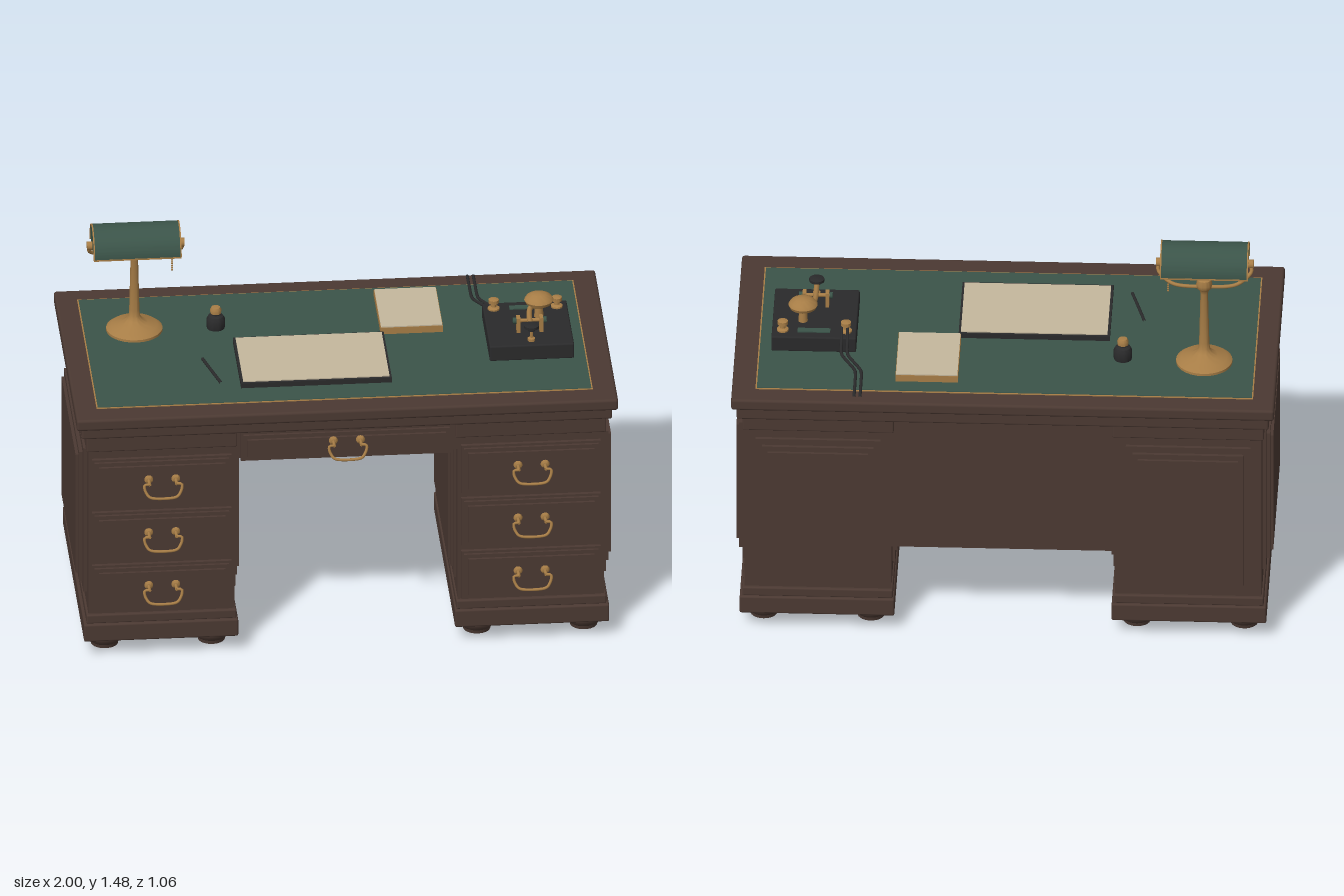
import * as THREE from 'three';
import { toCreasedNormals } from 'three/addons/utils/BufferGeometryUtils.js';
import { RoundedBoxGeometry } from 'three/addons/geometries/RoundedBoxGeometry.js';

const material = (name, color) => {
  const m = new THREE.MeshStandardMaterial({ color });
  m.name = name;
  return m;
};

export function createModel() {
  const wood = material('dark wood', 0x4b3932);
  const green = material('green leather and glass', 0x3b5449);
  const brass = material('brass', 0xa77d46);
  const cream = material('cream paper', 0xc4b79d);
  const black = material('black', 0x2a2a2b);

  const model = new THREE.Group();
  model.name = 'writingDesk';

  const group = (name, parent = model) => {
    const g = new THREE.Group();
    g.name = name;
    parent.add(g);
    return g;
  };
  const add = (name, geo, mat, parent = model, x = 0, y = 0, z = 0) => {
    const m = new THREE.Mesh(geo, mat);
    m.name = name;
    m.position.set(x, y, z);
    parent.add(m);
    return m;
  };
  // Box given by its limits on each axis, optionally with softened edges
  const box = (name, mat, parent, [x0, x1], [y0, y1], [z0, z1], r = 0) => {
    const s = [x1 - x0, y1 - y0, z1 - z0];
    const geo = r ? new RoundedBoxGeometry(...s, 2, r) : new THREE.BoxGeometry(...s);
    return add(name, geo, mat, parent, (x0 + x1) / 2, (y0 + y1) / 2, (z0 + z1) / 2);
  };
  const lathe = (name, pts, mat, parent, x, y, z, n = 28) =>
    add(name, toCreasedNormals(new THREE.LatheGeometry(pts.map(p => new THREE.Vector2(...p)), n), 0.6), mat, parent, x, y, z);
  const tube = (name, pts, r, mat, parent, n = 24, tension = 0.3) => {
    const curve = new THREE.CatmullRomCurve3(pts.map(p => new THREE.Vector3(...p)), false, 'catmullrom', tension);
    return add(name, new THREE.TubeGeometry(curve, n, r, 8), mat, parent);
  };
  // Stepped raised panel facing +z of its own group
  const raisedPanel = (name, parent, w, h, steps) => {
    const g = group(name, parent);
    for (const [inset, depth] of steps)
      box('panelStep', wood, g, [-w / 2 + inset, w / 2 - inset], [-h / 2 + inset, h / 2 - inset], [-0.005, depth]);
    return g;
  };
  const place = (o, x, y, z, ry = 0) => {
    o.position.set(x, y, z);
    o.rotation.y = ry;
  };

  // Hanging drawer pull with two rosettes
  const handle = (parent, x, y, z) => {
    const g = group('drawerHandle', parent);
    g.position.set(x, y, z);
    for (const s of [-1, 1]) {
      const rose = lathe('rosette', [[0, 0.012], [0.009, 0.01], [0.016, 0.004], [0.017, 0]].reverse(), brass, g, s * 0.05, 0.022, 0, 14);
      rose.rotation.x = Math.PI / 2;
      const post = add('handlePost', new THREE.CylinderGeometry(0.006, 0.006, 0.046, 10), brass, g, s * 0.05, 0.022, 0.022);
      post.rotation.x = Math.PI / 2;
    }
    tube('bail', [[-0.05, 0.024, 0.045], [-0.069, 0.021, 0.047], [-0.064, -0.005, 0.055], [-0.04, -0.024, 0.065],
      [0.04, -0.024, 0.065], [0.064, -0.005, 0.055], [0.069, 0.021, 0.047], [0.05, 0.024, 0.045]], 0.0055, brass, g, 36, 0.5);
  };
  const drawer = (name, parent, x, y, w, h) => {
    const g = raisedPanel(name, parent, w, h, [[0, 0.014], [0.009, 0.024], [0.024, 0.034]]);
    g.position.set(x, y, 0.427);
    handle(parent, x, y, 0.46);
  };

  // Table top with moulded edge and leather inlay
  const top = group('tableTop');
  box('topSlab', wood, top, [-1, 1], [0.965, 1.01], [-0.53, 0.497], 0.01);
  box('topMoulding', wood, top, [-0.98, 0.98], [0.915, 0.968], [-0.51, 0.467], 0.008);
  box('inlayBorder', brass, top, [-0.92, 0.913], [1.008, 1.0125], [-0.449, 0.408]);
  box('leatherInlay', green, top, [-0.915, 0.908], [1.008, 1.0145], [-0.443, 0.402]);

  // Two mirrored pedestals
  for (const side of [-1, 1]) {
    const p = group(side < 0 ? 'rightPedestal' : 'leftPedestal');
    const range = (a, b) => (side > 0 ? [a, b] : [-b, -a]);
    const cx = side * 0.682;
    box('plinth', wood, p, range(0.4, 0.97), [0.065, 0.136], [-0.485, 0.455], 0.007);
    box('plinthMoulding', wood, p, range(0.406, 0.96), [0.134, 0.17], [-0.475, 0.443], 0.006);
    box('carcass', wood, p, range(0.412, 0.952), [0.16, 0.86], [-0.462, 0.427]);
    box('neckMoulding', wood, p, range(0.403, 0.96), [0.845, 0.92], [-0.47, 0.436], 0.005);

    for (const y of [0.715, 0.495, 0.275]) drawer('drawer', p, cx, y, 0.515, 0.198);

    const steps = [[0, 0.013], [0.03, 0.026], [0.053, 0.037]];
    place(raisedPanel('outerSidePanel', p, 0.72, 0.597, steps), side * 0.952, 0.524, 0, side * Math.PI / 2);
    place(raisedPanel('innerSidePanel', p, 0.72, 0.597, [[0, 0.009], [0.03, 0.018], [0.053, 0.026]]),
      side * 0.412, 0.524, 0, -side * Math.PI / 2);
    place(raisedPanel('backPanel', p, 0.46, 0.61, [[0, 0.013], [0.025, 0.026], [0.045, 0.037]]), cx, 0.507, -0.462, Math.PI);

    for (const x of [0.49, 0.885]) for (const z of [0.335, -0.363])
      lathe('bunFoot', [[0, 0], [0.05, 0], [0.053, 0.014], [0.068, 0.028], [0.074, 0.045], [0.072, 0.066]], wood, p, side * x, 0, z);
  }

  // Kneehole with centre drawer and modesty panel
  const knee = group('kneehole');
  box('drawerCase', wood, knee, [-0.42, 0.42], [0.79, 0.92], [-0.44, 0.42]);
  box('modestyPanel', wood, knee, [-0.42, 0.42], [0.345, 0.92], [-0.45, -0.415]);
  drawer('centreDrawer', knee, 0, 0.847, 0.78, 0.118);

  // Desk lamp
  const lamp = group('deskLamp');
  lamp.position.set(-0.73, 0, -0.195);
  lathe('lampStand', [[0, 1.012], [0.104, 1.012], [0.104, 1.024], [0.085, 1.038], [0.05, 1.046], [0.03, 1.06], [0.021, 1.075],
    [0.019, 1.1], [0.014, 1.31], [0.018, 1.325], [0.027, 1.335], [0.03, 1.35], [0.026, 1.37], [0.012, 1.38], [0, 1.381]], brass, lamp, 0, 0, 0);
  tube('lampYoke', [[-0.17, 1.402, 0.06], [-0.168, 1.37, 0.045], [-0.11, 1.34, 0.01], [0, 1.338, 0],
    [0.11, 1.34, 0.01], [0.168, 1.37, 0.045], [0.17, 1.402, 0.06]], 0.007, brass, lamp, 40, 0.5);
  const halfDisc = (r, hole) => {
    const s = new THREE.Shape();
    s.absarc(0, 0, r, 0, Math.PI, false);
    if (hole) s.absarc(0, 0, hole, Math.PI, 0, true);
    s.closePath();
    return s;
  };
  const shadePart = (name, shape, depth, mat, x) => {
    const geo = new THREE.ExtrudeGeometry(shape, { depth, bevelEnabled: false, curveSegments: 28 });
    const m = add(name, toCreasedNormals(geo, 0.5), mat, lamp, x, 1.39, 0.06);
    m.rotation.y = Math.PI / 2;
  };
  shadePart('lampShade', halfDisc(0.092, 0.087), 0.32, green, -0.16);
  for (const s of [-1, 1]) {
    shadePart('shadeEnd', halfDisc(0.09), 0.005, green, s * 0.157 - 0.0025);
    shadePart('shadeEndRim', halfDisc(0.0935, 0.09), 0.005, brass, s * 0.16 - 0.0025);
    box('shadeEdge', brass, lamp, [-0.162, 0.162], [1.384, 1.39], s > 0 ? [0.146, 0.153] : [-0.033, -0.026]);
    const knob = add('shadeKnob', new THREE.CylinderGeometry(0.016, 0.016, 0.02, 16), brass, lamp, s * 0.17, 1.403, 0.06);
    knob.rotation.z = Math.PI / 2;
  }
  for (let i = 0; i < 12; i++)
    add('chainBead', new THREE.SphereGeometry(0.0038, 8, 6), brass, lamp, 0.135, 1.285 + i * 0.009, 0.052);

  // Inkwell and pen
  const ink = group('inkwell');
  lathe('inkBottle', [[0, 1.013], [0.032, 1.013], [0.034, 1.02], [0.034, 1.052], [0.028, 1.064], [0.017, 1.07], [0.017, 1.08], [0, 1.08]],
    black, ink, -0.43, 0, -0.185);
  lathe('inkCap', [[0, 1.076], [0.02, 1.076], [0.021, 1.09], [0.016, 1.1], [0, 1.103]], brass, ink, -0.43, 0, -0.185);
  tube('pen', [[-0.5, 1.021, 0.067], [-0.474, 1.021, 0.166], [-0.447, 1.021, 0.265]], 0.006, black, model, 6);

  // Blotter pad and paper stack
  const pad = group('blotter');
  box('blotterPad', black, pad, [-0.377, 0.18], [1.012, 1.034], [-0.065, 0.298]);
  box('blotterPaper', cream, pad, [-0.368, 0.172], [1.033, 1.038], [-0.056, 0.288]);
  const stack = group('paperStack');
  box('stackBody', brass, stack, [0.17, 0.4], [1.012, 1.041], [-0.38, -0.08]);
  box('topSheet', cream, stack, [0.172, 0.398], [1.04, 1.045], [-0.378, -0.082]);

  // Signal key on its block
  const key = group('signalKey');
  box('keyBlock', black, key, [0.553, 0.865], [1.012, 1.074], [-0.182, 0.163], 0.006);
  box('keyPlate', green, key, [0.65, 0.77], [1.072, 1.078], [-0.147, -0.12]);
  for (const x of [0.592, 0.825])
    lathe('bindingPost', [[0, 1.072], [0.022, 1.072], [0.022, 1.08], [0.01, 1.085], [0.01, 1.095], [0.019, 1.1], [0.019, 1.114], [0, 1.12]],
      brass, key, x, 0, -0.132, 16);
  lathe('bell', [[0, 1.116], [0.03, 1.121], [0.049, 1.133], [0.054, 1.145], [0.046, 1.157], [0.026, 1.168], [0, 1.172]], brass, key, 0.753, 0, -0.062);
  add('bellPost', new THREE.CylinderGeometry(0.014, 0.018, 0.06, 14), brass, key, 0.753, 1.1, -0.062);
  tube('keyLever', [[0.753, 1.13, -0.06], [0.718, 1.126, -0.03], [0.71, 1.122, 0.03], [0.71, 1.12, 0.13]], 0.01, brass, key);
  const axle = add('keyAxle', new THREE.CylinderGeometry(0.007, 0.007, 0.11, 12), brass, key, 0.71, 1.118, 0.048);
  axle.rotation.z = Math.PI / 2;
  for (const s of [-1, 1]) {
    box('keyBracket', brass, key, [0.71 + s * 0.042 - 0.007, 0.71 + s * 0.042 + 0.007], [1.072, 1.132], [0.032, 0.064]);
    const cap = add('axleCap', new THREE.CylinderGeometry(0.012, 0.012, 0.012, 12), green, key, 0.71 + s * 0.056, 1.118, 0.048);
    cap.rotation.z = Math.PI / 2;
  }
  lathe('keyContact', [[0, 1.072], [0.014, 1.072], [0.014, 1.084], [0.006, 1.088], [0.006, 1.118]], brass, key, 0.71, 0, 0.125, 14);
  lathe('keyKnob', [[0, 1.118], [0.014, 1.118], [0.015, 1.126], [0.028, 1.13], [0.028, 1.14], [0.018, 1.144], [0, 1.144]], black, key, 0.71, 0, 0.128, 20);
  for (const dx of [0, -0.022])
    tube('wire', [[0.608 + dx, 1.092, -0.14], [0.606 + dx, 1.072, -0.19], [0.604 + dx, 1.03, -0.225], [0.552 + dx, 1.021, -0.32],
      [0.548 + dx, 1.02, -0.42], [0.548 + dx, 1.017, -0.505]], 0.006, black, key, 32);

  return model;
}
